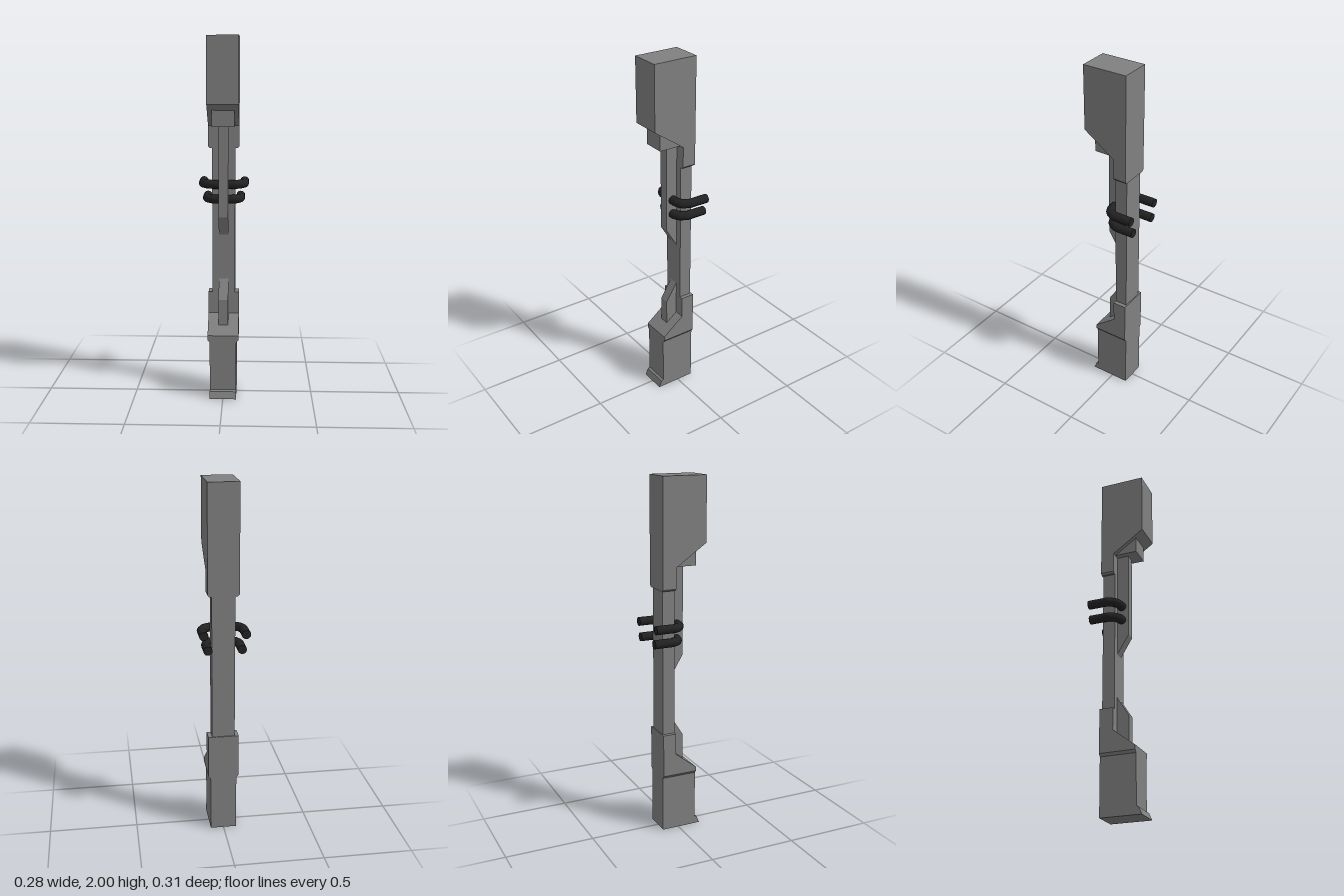
import * as THREE from 'three';

const bodyMat = new THREE.MeshStandardMaterial({ color: 0x808080 });
const ringMat = new THREE.MeshStandardMaterial({ color: 0x222222 });

// Side profile given as [z, y] points, extruded symmetrically across x
function profile(name, width, points) {
  const shape = new THREE.Shape(points.map(([z, y]) => new THREE.Vector2(z, y)));
  const geo = new THREE.ExtrudeGeometry(shape, { depth: width, bevelEnabled: false });
  geo.translate(0, 0, -width / 2).rotateY(-Math.PI / 2);
  const mesh = new THREE.Mesh(geo, bodyMat);
  mesh.name = name;
  return mesh;
}

// Box whose width changes from bottom to top
function taper(name, wBottom, wTop, y0, y1, z0, z1) {
  const geo = new THREE.BoxGeometry(1, y1 - y0, z1 - z0).toNonIndexed();
  const p = geo.attributes.position;
  for (let i = 0; i < p.count; i++) p.setX(i, p.getX(i) * (p.getY(i) > 0 ? wTop : wBottom));
  geo.translate(0, (y0 + y1) / 2, (z0 + z1) / 2);
  geo.computeVertexNormals();
  const mesh = new THREE.Mesh(geo, bodyMat);
  mesh.name = name;
  return mesh;
}

// U-shaped bar wrapping the shaft, open towards the back
function bracket(name, halfWidth, y) {
  const r = 0.025, zBack = -0.155, zFront = 0.009;
  const half = [
    [halfWidth, zBack], [halfWidth, -0.045],
    [halfWidth - 0.02, -0.009], [halfWidth - 0.045, 0.005],
  ];
  const pts = [...half, [0, zFront], ...half.map(([x, z]) => [-x, z]).reverse()]
    .map(([x, z]) => new THREE.Vector3(x, 0, z));
  const path = new THREE.CurvePath();
  for (let i = 1; i < pts.length; i++) path.add(new THREE.LineCurve3(pts[i - 1], pts[i]));
  const group = new THREE.Group();
  group.name = name;
  group.add(new THREE.Mesh(new THREE.TubeGeometry(path, 60, r, 12), ringMat));
  for (const side of [-1, 1]) {
    const cap = new THREE.Mesh(new THREE.CircleGeometry(r, 12), ringMat);
    cap.rotation.y = Math.PI;
    cap.position.set(side * halfWidth, 0, zBack);
    group.add(cap);
  }
  group.position.y = y;
  return group;
}

export function createModel() {
  const model = new THREE.Group();
  model.name = 'post';

  // Top block with sloped underside
  model.add(profile('upperBlock', 0.172, [
    [-0.097, 1.405], [-0.02, 1.405], [-0.02, 1.52], [0.157, 1.642], [0.157, 2], [-0.097, 2],
  ]));
  model.add(taper('upperChamfer', 0.15, 0.172, 1.395, 1.405, -0.097, -0.02));
  model.add(taper('upperLug', 0.122, 0.122, 1.52, 1.61, -0.02, 0.109));

  // Central shaft
  model.add(taper('shaft', 0.128, 0.128, 0.56, 1.42, -0.091, -0.02));

  // Narrow ribs on the front
  model.add(profile('upperRib', 0.054, [
    [-0.03, 0.91], [-0.02, 0.91], [0.047, 1.02], [0.047, 1.53], [-0.03, 1.53],
  ]));
  model.add(profile('lowerRib', 0.054, [
    [-0.03, 0.4], [0.047, 0.4], [0.047, 0.55], [-0.02, 0.657], [-0.03, 0.657],
  ]));

  // Collar with sloped shoulder
  model.add(profile('collar', 0.172, [
    [-0.097, 0.335], [0.105, 0.335], [0.105, 0.36], [-0.02, 0.457], [-0.02, 0.58], [-0.097, 0.58],
  ]));
  model.add(taper('collarChamfer', 0.148, 0.172, 0.32, 0.335, -0.097, 0.105));

  // Foot with a small toe lip
  model.add(profile('foot', 0.148, [
    [-0.097, 0], [0.134, 0], [0.118, 0.038], [0.105, 0.045], [0.105, 0.325], [-0.097, 0.325],
  ]));

  // Dark brackets
  model.add(bracket('upperBracket', 0.115, 1.198));
  model.add(bracket('lowerBracket', 0.093, 1.115));
  return model;
}
